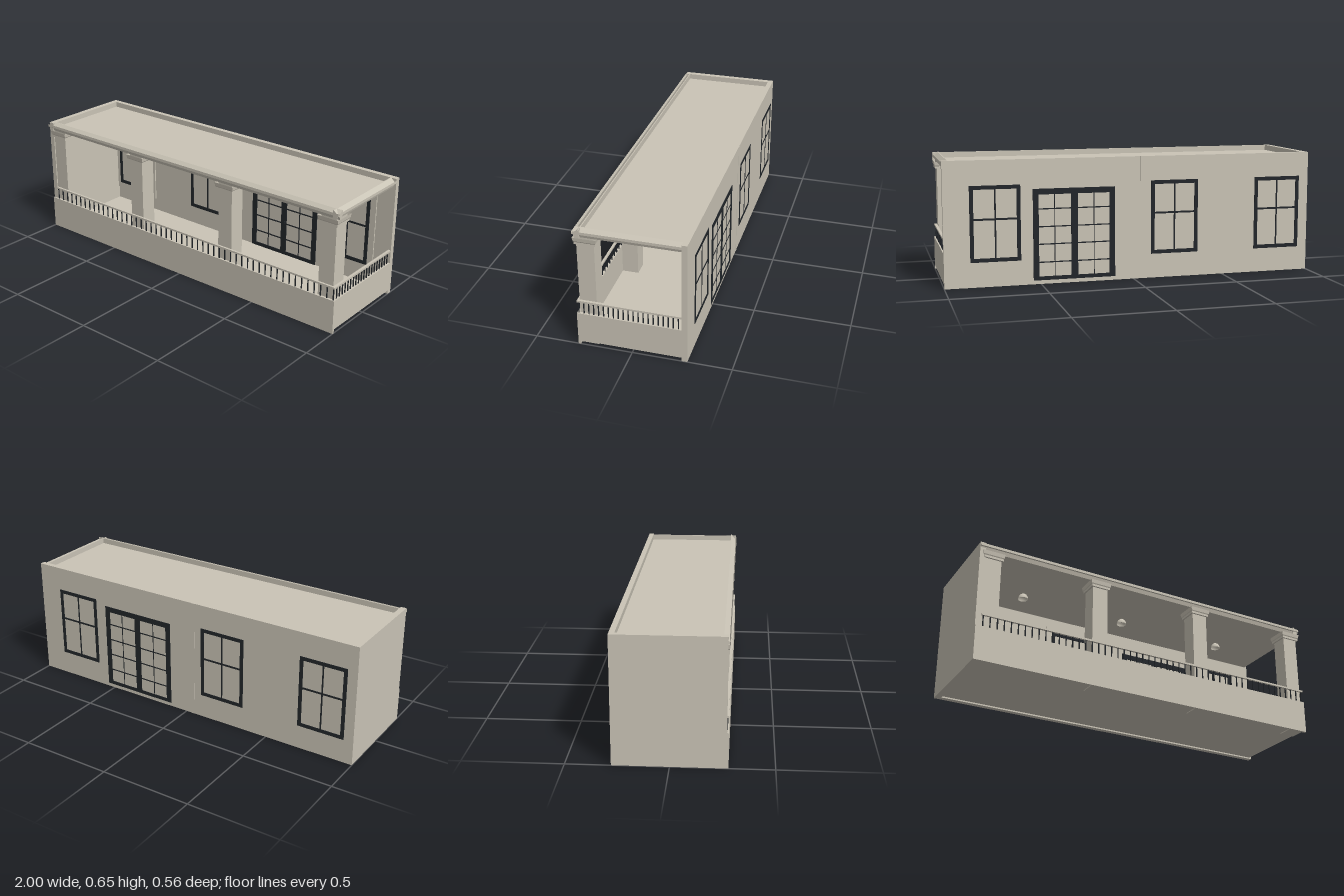
import * as THREE from 'three';

const plaster = new THREE.MeshStandardMaterial({ color: 0xcac4b6 });
plaster.name = 'plaster';
plaster.side = THREE.DoubleSide;
const darkFrame = new THREE.MeshStandardMaterial({ color: 0x22262a });
darkFrame.name = 'dark frame';

// Box given by its limits on each axis
function block(parent, name, x0, x1, y0, y1, z0, z1, mat = plaster) {
  const m = new THREE.Mesh(new THREE.BoxGeometry(x1 - x0, y1 - y0, z1 - z0), mat);
  m.position.set((x0 + x1) / 2, (y0 + y1) / 2, (z0 + z1) / 2);
  m.name = name;
  parent.add(m);
  return m;
}

function group(parent, name) {
  const g = new THREE.Group();
  g.name = name;
  parent.add(g);
  return g;
}

// Cornice swept along x; profile points are [outward, y]
function cornice(length) {
  const pts = [[-0.035, 0.61], [-0.015, 0.61], [-0.008, 0.63], [0, 0.631], [0, 0.645], [-0.005, 0.632],
    [-0.03, 0.655], [-0.035, 0.655]];
  const shape = new THREE.Shape(pts.map(p => new THREE.Vector2(...p)));
  const geo = new THREE.ExtrudeGeometry(shape, { depth: length, bevelEnabled: false });
  geo.translate(0, 0, -length / 2);
  return new THREE.Mesh(geo, plaster);
}

const backZ = -0.278, wallZ = -0.25;

// Thin frame bars on one face of the back wall
function bars(parent, list, z0, z1) {
  for (const [x0, x1, y0, y1] of list) block(parent, 'frameBar', x0, x1, y0, y1, z0, z1, darkFrame);
}

function addWindow(parent, cx) {
  const g = group(parent, 'window');
  const x0 = cx - 0.131, x1 = cx + 0.131, y0 = 0.13, y1 = 0.525, t = 0.02;
  const list = [
    [x0, x0 + t, y0, y1], [x1 - t, x1, y0, y1],
    [x0 + t, x1 - t, y1 - t, y1], [x0 + t, x1 - t, y0, y0 + t],
    [x0 + t, x1 - t, 0.346, 0.356], [cx - 0.004, cx + 0.004, y0 + t, y1 - t],
  ];
  block(g, 'windowSurround', cx - 0.165, cx + 0.165, 0.095, 0.557, wallZ, wallZ + 0.007);
  bars(g, list, wallZ + 0.006, wallZ + 0.01);
  bars(g, list, backZ - 0.002, backZ + 0.001);
}

function addDoor(parent, x0, x1) {
  const g = group(parent, 'doubleDoor');
  const cx = (x0 + x1) / 2, y0 = 0.02, y1 = 0.5, t = 0.03;
  const list = [
    [x0, x0 + t, y0, y1], [x1 - t, x1, y0, y1],
    [x0 + t, x1 - t, y1 - t, y1], [x0 + t, x1 - t, y0, y0 + 0.02],
    [cx - 0.018, cx + 0.018, y0 + 0.02, y1 - t],
  ];
  for (const y of [0.115, 0.21, 0.302, 0.395]) {
    list.push([x0 + t, cx - 0.018, y - 0.003, y + 0.003], [cx + 0.018, x1 - t, y - 0.003, y + 0.003]);
  }
  for (const s of [-1, 1]) {
    const mx = cx + s * 0.105;
    list.push([mx - 0.002, mx + 0.002, y0 + 0.02, y1 - t]);
  }
  bars(g, list, wallZ, wallZ + 0.004);
  bars(g, list, backZ - 0.002, backZ + 0.001);
  block(g, 'doorHandle', cx + 0.006, cx + 0.014, 0.215, 0.228, wallZ + 0.004, wallZ + 0.014, darkFrame);
}

// Square column with a stepped, flaring capital
function addColumn(parent, cx) {
  const g = group(parent, 'column');
  const cz = 0.221, h = 0.044;
  block(g, 'columnShaft', cx - h, cx + h, 0.003, 0.61, cz - h, cz + h);
  const profile = [[0.044, 0.573], [0.053, 0.573], [0.053, 0.585], [0.056, 0.59], [0.059, 0.61]];
  const geo = new THREE.LatheGeometry(
    profile.map(([r, y]) => new THREE.Vector2(r * Math.SQRT2, y)), 4, Math.PI / 4).toNonIndexed();
  geo.computeVertexNormals();
  const cap = new THREE.Mesh(geo, plaster);
  cap.name = 'columnCapital';
  cap.position.set(cx, 0, cz);
  g.add(cap);
}

// Hanging dome lamp
function addLamp(parent, x) {
  const g = group(parent, 'ceilingLamp');
  const pts = [[0.027, 0], [0.027, 0.004], [0.025, 0.013], [0.019, 0.024], [0.01, 0.03], [0.005, 0.032],
    [0.005, 0.034], [0.011, 0.037]];
  const dome = new THREE.Mesh(
    new THREE.LatheGeometry(pts.map(p => new THREE.Vector2(...p)), 24), plaster);
  dome.name = 'lampShade';
  dome.position.set(x, 0.573, -0.045);
  g.add(dome);
}

export function createModel() {
  const model = new THREE.Group();
  model.name = 'porch';

  // Walls, floor and roof
  block(model, 'backWall', -1, 1, 0, 0.655, backZ, wallZ);
  block(model, 'endWall', -1, -0.97, 0, 0.655, wallZ, 0.27);
  block(model, 'floor', -0.97, 0.985, 0.008, 0.02, wallZ, 0.265);
  block(model, 'roof', -0.97, 0.975, 0.61, 0.625, wallZ, 0.25);
  block(model, 'wallSeam', -0.055, -0.035, 0, 0.655, backZ - 0.0015, backZ);

  // Low parapets on the open sides
  block(model, 'frontParapet', -1, 1, 0, 0.182, 0.265, 0.278);
  block(model, 'sideParapet', 0.985, 1, 0.02, 0.182, wallZ, 0.265);

  // Cornices along the open sides
  const front = cornice(2);
  front.name = 'frontCornice';
  front.rotation.y = -Math.PI / 2;
  front.position.z = 0.28;
  const side = cornice(0.525);
  side.name = 'sideCornice';
  side.position.set(1, 0, 0.0125);
  model.add(side, front);

  // Openings in the back wall
  for (const x of [-0.816, -0.227, 0.735]) addWindow(model, x);
  addDoor(model, 0.102, 0.54);

  for (const x of [-0.925, -0.315, 0.31, 0.94]) addColumn(model, x);
  for (const x of [-0.626, -0.016, 0.626]) addLamp(model, x);

  // Railings with thin balusters
  const rails = group(model, 'railing');
  block(rails, 'frontHandrail', -0.97, 0.998, 0.245, 0.255, 0.264, 0.276);
  block(rails, 'sideHandrail', 0.984, 0.998, 0.245, 0.255, wallZ, 0.264);
  const w = 0.0025;
  for (let i = 0; i <= 52; i++) {
    const x = -0.96 + i * 0.0375;
    block(rails, 'frontBaluster', x - w, x + w, 0.182, 0.245, 0.2675, 0.2725, darkFrame);
  }
  for (let i = 0; i < 20; i++) {
    const z = 0.243 - i * 0.025;
    block(rails, 'sideBaluster', 0.9885, 0.9935, 0.182, 0.245, z - w, z + w, darkFrame);
  }
  return model;
}
